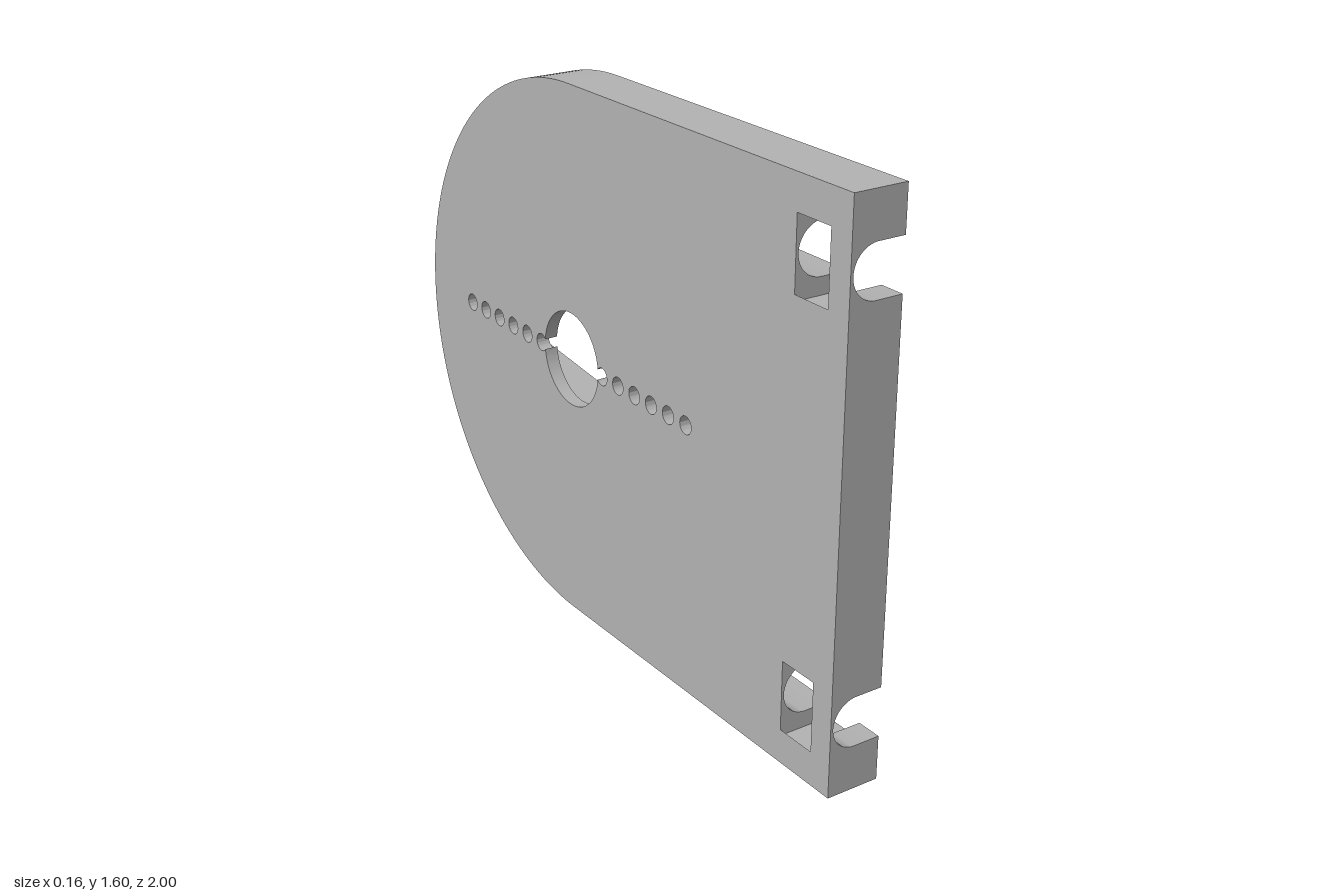
import * as THREE from 'three';
import { toCreasedNormals } from 'three/addons/utils/BufferGeometryUtils.js';

const T = 0.08;           // half thickness of the plate
const CU = 0.2, CV = 0.8; // centre of the rounded end (u = -z, v = y)
const SLOT_END = 0.525;
const SLOTS = [0.2, 1.4]; // slot heights
const SLOT_R = 0.072;

export function createModel() {
  const group = new THREE.Group();
  const grey = new THREE.MeshStandardMaterial({ color: 0xb2b2b2 });
  grey.name = 'plate grey';

  const extrude = (shape, depth) => toCreasedNormals(
    new THREE.ExtrudeGeometry(shape, { depth, bevelEnabled: false, curveSegments: 48 }), 0.5);
  const add = (name, geometry) => {
    const mesh = new THREE.Mesh(geometry, grey);
    mesh.name = name;
    group.add(mesh);
  };

  // Rounded plate outline, drawn in the side plane
  const outline = () => {
    const s = new THREE.Shape();
    s.moveTo(-SLOT_END, 0);
    s.lineTo(CU, 0);
    s.absarc(CU, CV, 0.8, -Math.PI / 2, Math.PI / 2, false);
    s.lineTo(-SLOT_END, 1.6);
    s.closePath();
    return s;
  };
  const addLayer = (name, shape, x0, x1) => {
    const g = extrude(shape, x1 - x0);
    g.rotateY(Math.PI / 2);
    g.translate(x0, 0, 0);
    add(name, g);
  };

  // Thin floor with the horn hole and two rows of screw holes
  const floor = outline();
  const R = 0.14, r = 0.026, d = 0.16;
  const a = (d * d + R * R - r * r) / (2 * d);
  const h = Math.sqrt(R * R - a * a);
  const big = Math.atan2(h, a), small = Math.atan2(h, d - a);
  const hub = new THREE.Path();
  hub.absarc(CU, CV, R, big, Math.PI - big, false);
  hub.absarc(CU - d, CV, r, small, 2 * Math.PI - small, false);
  hub.absarc(CU, CV, R, Math.PI + big, 2 * Math.PI - big, false);
  hub.absarc(CU + d, CV, r, small - Math.PI, Math.PI - small, false);
  floor.holes.push(hub);
  for (const side of [-1, 1]) {
    for (let i = 1; i <= 5; i++) {
      const hole = new THREE.Path();
      hole.absarc(CU + side * (d + 0.0805 * i), CV, r, 0, Math.PI * 2, false);
      floor.holes.push(hole);
    }
  }
  addLayer('pocketFloorLayer', floor, -T, -0.04);

  // Thick layer with the tapered two-arm pocket
  const upper = outline();
  const pocket = new THREE.Path();
  const arm = 0.56, endR = 0.09, midR = 0.152;
  const p = Math.acos((midR - endR) / arm);
  pocket.absarc(CU + arm, CV, endR, -p, p, false);
  pocket.absarc(CU, CV, midR, p, Math.PI - p, false);
  pocket.absarc(CU - arm, CV, endR, Math.PI - p, Math.PI + p, false);
  pocket.absarc(CU, CV, midR, Math.PI + p, 2 * Math.PI - p, false);
  upper.holes.push(pocket);
  addLayer('pocketLayer', upper, -0.04, T);

  // Straight edge with round-bottomed screw slots
  const slotted = new THREE.Shape();
  slotted.moveTo(-T, 0);
  slotted.lineTo(T, 0);
  for (const y of SLOTS) {
    slotted.lineTo(T, y - SLOT_R);
    slotted.lineTo(0, y - SLOT_R);
    slotted.absarc(0, y, SLOT_R, -Math.PI / 2, -Math.PI * 1.5, true);
    slotted.lineTo(T, y + SLOT_R);
  }
  slotted.lineTo(T, 1.6);
  slotted.lineTo(-T, 1.6);
  slotted.closePath();
  const addSection = (name, shape, z0, z1) => {
    const g = extrude(shape, z1 - z0);
    g.translate(0, 0, z0);
    add(name, g);
  };
  addSection('innerSlotSection', slotted, SLOT_END, 0.8);
  addSection('outerSlotSection', slotted, 0.925, 1);

  // Blocks between the hexagonal nut openings
  const nut = 0.12, nutBack = 0.1015, knee = -0.0693;
  const edges = [null, ...SLOTS, null];
  for (let i = 0; i < 3; i++) {
    const lo = edges[i], hi = edges[i + 1];
    const pts = [];
    if (lo === null) pts.push([-T, 0], [T, 0]);
    else pts.push([-T, lo + nutBack], [knee, lo + nut], [T, lo + nut]);
    if (hi === null) pts.push([T, 1.6], [-T, 1.6]);
    else pts.push([T, hi - nut], [knee, hi - nut], [-T, hi - nutBack]);
    addSection('nutSection' + (i + 1),
      new THREE.Shape(pts.map(([x, y]) => new THREE.Vector2(x, y))), 0.8, 0.925);
  }

  return group;
}
